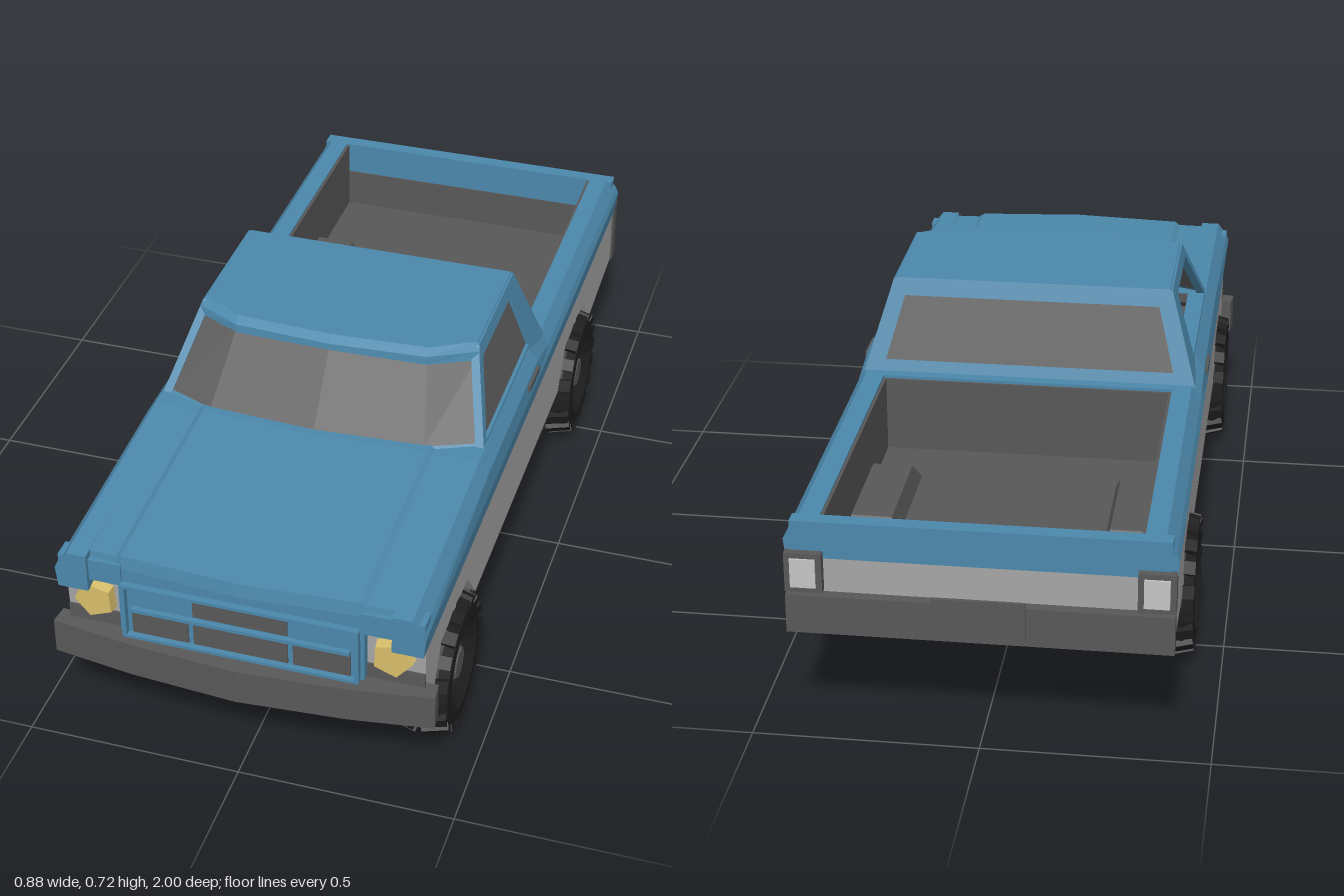
import * as THREE from 'three';

const mat = (name, color) => new THREE.MeshStandardMaterial({ name, color, side: THREE.DoubleSide, flatShading: true });
const blue = mat('body blue', 0x4c88ab);
const grey = mat('lower body grey', 0xa6a6a6);
const trim = mat('trim grey', 0x585858);
const glass = mat('window grey', 0x5c5c5c);
const under = mat('sill dark grey', 0x2c2c2c);
const rubber = mat('tyre black', 0x1e1e1e);
const lamp = mat('headlight yellow', 0xd8be6a);
const lens = mat('tail light pale grey', 0xc4c4c4);

export function createModel() {
  const truck = new THREE.Group();
  truck.name = 'pickupTruck';

  const add = (name, geo, material, parent = truck) => {
    const m = new THREE.Mesh(geo, material);
    m.name = name;
    parent.add(m);
    return m;
  };
  // Box given by its limits on each axis
  const box = (name, material, [x0, x1], [y0, y1], [z0, z1]) => {
    const g = new THREE.BoxGeometry(Math.abs(x1 - x0), y1 - y0, z1 - z0);
    g.translate((x0 + x1) / 2, (y0 + y1) / 2, (z0 + z1) / 2);
    return add(name, g, material);
  };
  // Faceted surface through rows of points; closed rows become a capped solid
  const loft = (name, material, rows, closed = false) => {
    const pos = [];
    const tri = (...p) => p.forEach((v) => pos.push(...v));
    for (let i = 0; i + 1 < rows.length; i++) {
      const a = rows[i], b = rows[i + 1], n = a.length;
      for (let j = 0; j < (closed ? n : n - 1); j++) {
        const k = (j + 1) % n;
        tri(a[j], b[j], b[k]);
        tri(a[j], b[k], a[k]);
      }
    }
    if (closed) {
      const a = rows[0], b = rows[rows.length - 1];
      for (let j = 1; j + 1 < a.length; j++) {
        tri(a[0], a[j], a[j + 1]);
        tri(b[0], b[j + 1], b[j]);
      }
    }
    const g = new THREE.BufferGeometry();
    g.setAttribute('position', new THREE.Float32BufferAttribute(pos, 3));
    g.computeVertexNormals();
    return add(name, g, material);
  };
  const shapeOf = (pts) => new THREE.Shape(pts.map(([a, b]) => new THREE.Vector2(a, b)));
  // Side panel drawn as [z, y], with thickness along x
  const sidePanel = (pts, depth, s, outer, hole) => {
    const shape = shapeOf(pts);
    if (hole) shape.holes.push(new THREE.Path(hole.map(([a, b]) => new THREE.Vector2(a, b))));
    const g = new THREE.ExtrudeGeometry(shape, { depth, bevelEnabled: false });
    g.rotateY(-Math.PI / 2);
    g.translate(s > 0 ? outer : depth - outer, 0, 0);
    return g;
  };
  // Leans a cab panel inward with height
  const lean = (g, s) => {
    const p = g.attributes.position;
    for (let i = 0; i < p.count; i++) p.setX(i, p.getX(i) - s * (p.getY(i) - 0.53) * 0.3);
    g.computeVertexNormals();
    return g;
  };

  const windowOutline = [[0.345, 0.54], [0.225, 0.685], [-0.03, 0.685], [-0.06, 0.54]];

  for (const s of [1, -1]) {
    const sx = (a, b) => [s * a, s * b];

    // Lower side with wheel arches
    add('lowerSide', sidePanel([
      [0.93, 0.41], [0.92, 0.22], [0.86, 0.22], [0.8, 0.32], [0.58, 0.32], [0.5, 0.22],
      [-0.33, 0.22], [-0.4, 0.32], [-0.62, 0.32], [-0.68, 0.22], [-0.965, 0.25], [-0.965, 0.41],
    ], 0.06, s, 0.41), grey);

    // Upper side running from fender through door to bed rail
    const stations = [[0.965, 0.505], [0.42, 0.533], [-0.05, 0.533], [-0.17, 0.507], [-0.965, 0.505]];
    loft('upperSide', blue, stations.map(([z, top]) => [
      [0.415, 0.41], [0.42, 0.46], [0.413, top - 0.03], [0.39, top], [0.345, top], [0.345, 0.41],
    ].map(([x, y]) => [s * x, y, z])), true);

    // Cab side frame
    add('cabSide', lean(sidePanel([
      [0.38, 0.53], [0.245, 0.7], [0.23, 0.715], [-0.09, 0.715], [-0.17, 0.505],
    ], 0.02, s, 0.39, windowOutline), s), blue);
    box('doorHandle', trim, sx(0.41, 0.421), [0.482, 0.496], [-0.04, 0.055]);

    // Bed wall and wheel boxes
    box('bedWall', trim, sx(0.338, 0.346), [0.32, 0.502], [-0.93, -0.2]);
    loft('bedWheelBox', trim, [
      [[0.23, -0.68], [0.345, -0.68], [0.345, -0.35], [0.23, -0.35]].map(([x, z]) => [s * x, 0.32, z]),
      [[0.245, -0.655], [0.345, -0.655], [0.345, -0.39], [0.245, -0.39]].map(([x, z]) => [s * x, 0.365, z]),
    ], true);

    // Sill strip and wheel well liners
    box('sill', under, sx(0.4, 0.408), [0.208, 0.226], [-0.34, 0.51]);
    for (const z of [[0.85, 0.91], [-0.34, 0.51]])
      box('floorEdge', trim, sx(0.27, 0.4), [0.208, 0.235], z);
    add('rearFloorEdge', sidePanel([[-0.68, 0.215], [-0.965, 0.247], [-0.965, 0.26], [-0.68, 0.235]], 0.13, s, 0.4), trim);
    for (const z of [0.69, -0.51]) {
      box('wheelWellTop', under, sx(0.27, 0.36), [0.315, 0.318], [z - 0.14, z + 0.14]);
      box('wheelWellWall', under, sx(0.265, 0.275), [0.225, 0.318], [z - 0.17, z + 0.17]);
    }

    // Headlight in its surround
    box('headlightSurround', grey, sx(0.28, 0.41), [0.33, 0.44], [0.91, 0.925]);
    box('headlightSill', trim, sx(0.28, 0.41), [0.295, 0.332], [0.91, 0.93]);
    box('headlightBrow', blue, sx(0.27, 0.415), [0.435, 0.49], [0.91, 0.955]);
    const light = new THREE.CylinderGeometry(0.046, 0.05, 0.025, 5);
    light.rotateX(Math.PI / 2);
    light.rotateZ(s * 0.25);
    add('headlight', light, lamp).position.set(s * 0.34, 0.372, 0.938);

    // Tail light
    box('tailLightFrame', trim, sx(0.335, 0.416), [0.345, 0.437], [-0.985, -0.95]);
    box('tailLight', lens, sx(0.348, 0.403), [0.358, 0.425], [-0.99, -0.984]);
  }

  // Left window, lined in body colour; the right one is open
  add('leftWindow', lean(sidePanel(windowOutline, 0.006, 1, 0.382), 1), glass);
  add('leftWindowLining', lean(sidePanel(windowOutline, 0.004, 1, 0.374), 1), blue);
  box('cabinFloor', trim, [-0.345, 0.345], [0.49, 0.5], [-0.165, 0.35]);

  // Hood: raised centre between two creases, running back to the cowl
  const hoodRow = (z, y, bow) => [[-0.39, 0.004, 0], [-0.283, 0.002, 0.3], [-0.27, 0.01, 0.4], [0, 0.012, 1],
    [0.27, 0.01, 0.4], [0.283, 0.002, 0.3], [0.39, 0.004, 0]].map(([x, dy, t]) => [x, y + dy, z + bow * t]);
  loft('hood', blue, [hoodRow(0.94, 0.47, 0.03), hoodRow(0.935, 0.502, 0.03), hoodRow(0.42, 0.532, 0.03), hoodRow(0.345, 0.532, 0.03)]);

  // Grille panel with dark openings
  box('grillePanel', blue, [-0.28, 0.28], [0.3, 0.485], [0.91, 0.95]);
  box('upperGrille', trim, [-0.108, 0.108], [0.385, 0.435], [0.945, 0.954]);
  for (const [x0, x1] of [[-0.25, -0.12], [-0.108, 0.108], [0.12, 0.25]])
    box('lowerGrille', trim, [x0, x1], [0.308, 0.365], [0.945, 0.954]);
  box('grilleBar', blue, [-0.25, 0.25], [0.37, 0.379], [0.945, 0.962]);
  for (const y of [0.302, 0.44]) box('grilleRim', blue, [-0.27, 0.27], [y - 0.004, y + 0.004], [0.945, 0.965]);
  for (const x of [-0.266, 0.266]) box('grilleRim', blue, [x - 0.005, x + 0.005], [0.302, 0.44], [0.945, 0.965]);

  // Front bumper, slightly pointed in plan
  const plan = [[-0.435, 0.91], [-0.44, 0.955], [-0.25, 0.982], [0, 1], [0.25, 0.982], [0.44, 0.955], [0.435, 0.91], [0, 0.94]];
  const bumper = new THREE.ExtrudeGeometry(shapeOf(plan.map(([x, z]) => [x, -z])), { depth: 0.087, bevelEnabled: false });
  bumper.rotateX(-Math.PI / 2);
  add('frontBumper', bumper, trim).position.y = 0.207;

  // Wrapped windshield with a blue lower edge
  const shieldTop = [[-0.338, 0.235], [-0.23, 0.292], [0, 0.308], [0.23, 0.292], [0.338, 0.235]];
  const shieldBase = [[-0.385, 0.37], [-0.26, 0.42], [0, 0.44], [0.26, 0.42], [0.385, 0.37]];
  const shieldRow = (t) => shieldBase.map(([x, z], i) => [
    x + (shieldTop[i][0] - x) * t, 0.53 + 0.165 * t, z + (shieldTop[i][1] - z) * t]);
  loft('windshieldEdge', blue, [shieldRow(0), shieldRow(0.06)]);
  loft('windshield', glass, [shieldRow(0.06), shieldRow(1)]);

  // Roof
  const roofRing = (y, w, f, b) => [[-w, b], [-w, f], [-0.23, f + 0.055], [0, f + 0.068],
    [0.23, f + 0.055], [w, f], [w, b]].map(([x, z]) => [x, y, z]);
  loft('roof', blue, [roofRing(0.685, 0.343, 0.245, -0.102), roofRing(0.705, 0.337, 0.243, -0.095), roofRing(0.718, 0.328, 0.222, -0.09)], true);

  // Cab back and rear window
  const backRow = (y, w, off) => [-1, 1].map((d) => [d * w, y, -0.17 + (y - 0.505) * 0.375 - off]);
  loft('cabBack', blue, [backRow(0.5, 0.395, 0), backRow(0.715, 0.335, 0)]);
  for (const off of [0.005, -0.005])
    loft('rearWindow', glass, [backRow(0.535, 0.345, off), backRow(0.68, 0.305, off)]);

  // Load bed and tailgate
  box('bedFloor', trim, [-0.35, 0.35], [0.305, 0.32], [-0.95, -0.18]);
  box('bedFrontRail', blue, [-0.35, 0.35], [0.32, 0.507], [-0.197, -0.165]);
  box('bedFrontWall', trim, [-0.342, 0.342], [0.32, 0.5], [-0.204, -0.197]);
  box('tailgateTop', blue, [-0.405, 0.405], [0.42, 0.505], [-0.968, -0.932]);
  box('tailgateLower', grey, [-0.405, 0.405], [0.25, 0.42], [-0.965, -0.935]);
  box('tailgateInside', trim, [-0.342, 0.342], [0.32, 0.42], [-0.935, -0.929]);
  box('rearBumper', trim, [-0.415, 0.415], [0.25, 0.34], [-0.99, -0.955]);
  box('rearPlate', trim, [-0.1, 0.1], [0.265, 0.355], [-0.998, -0.99]);

  // Underside, rising toward the tail
  add('underside', sidePanel([[0.91, 0.208], [0.91, 0.235], [-0.68, 0.235], [-0.965, 0.26], [-0.965, 0.247], [-0.68, 0.212]],
    0.56, 1, 0.28), trim);

  // Wheels with lugged tyres
  const profile = [[0.075, -0.045], [0.11, -0.07], [0.138, -0.068], [0.153, -0.045], [0.153, 0.045],
    [0.138, 0.068], [0.11, 0.07], [0.075, 0.045], [0.075, -0.045]].map(([r, h]) => new THREE.Vector2(r, h));
  const tyreGeo = new THREE.LatheGeometry(profile, 16).rotateZ(-Math.PI / 2);
  const disc = (r0, r1, h, x) => new THREE.CylinderGeometry(r0, r1, h, 10).rotateZ(-Math.PI / 2).translate(x, 0, 0);
  const rimGeo = disc(0.078, 0.08, 0.08, 0);
  const hubGeo = disc(0.035, 0.05, 0.02, 0.05);
  const lugGeo = new THREE.BoxGeometry(0.062, 0.022, 0.03);
  for (const s of [1, -1]) for (const z of [0.69, -0.51]) {
    const wheel = new THREE.Group();
    wheel.name = z > 0 ? 'frontWheel' : 'rearWheel';
    wheel.position.set(s * 0.366, 0.166, z);
    wheel.rotation.y = s > 0 ? 0 : Math.PI;
    add('tyre', tyreGeo, rubber, wheel);
    add('rim', rimGeo, trim, wheel);
    add('hub', hubGeo, trim, wheel);
    for (let i = 0; i < 36; i++) {
      const a = (i / 36) * Math.PI * 2, side = i % 2 ? 1 : -1;
      const lug = add('treadLug', lugGeo, rubber, wheel);
      lug.position.set(side * 0.037, Math.cos(a) * 0.152, Math.sin(a) * 0.152);
      lug.rotation.set(a, 0, -side * 0.25);
    }
    truck.add(wheel);
  }
  return truck;
}
